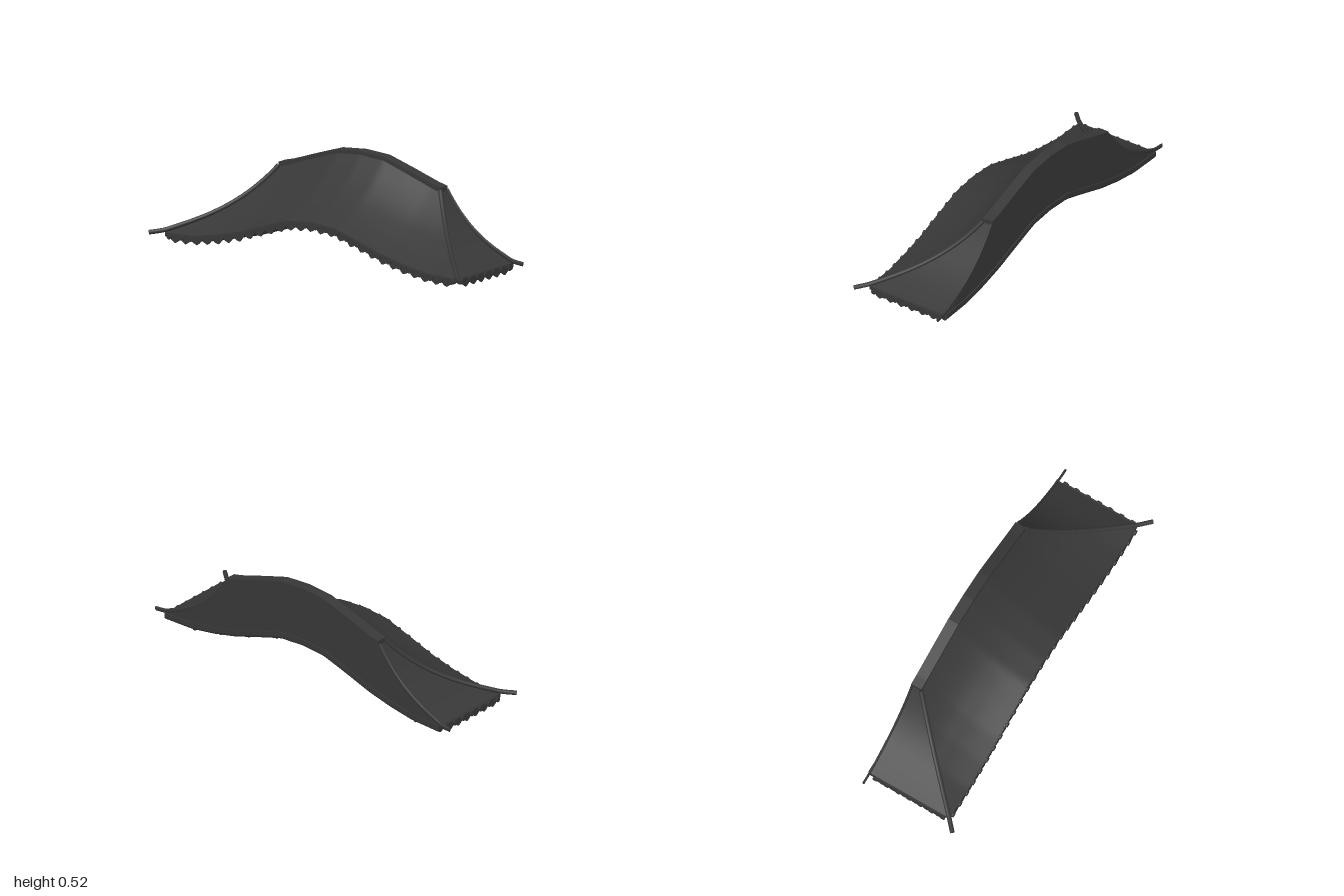
import * as THREE from 'three';

const material = new THREE.MeshStandardMaterial({ color: 0x383838, side: THREE.DoubleSide });
const EAVE_X = 0.93, RIDGE_X = 0.515, EAVE_Z = 0.2075, RIDGE_Z = -0.21, BACK_Z = -0.262;
const FRAME_X = 0.75, FRAME_Z = 0.025;
const { lerp } = THREE.MathUtils;

// Drop of the wavy eave and ridge away from the centre line
const WAVE = [[0, 0], [0.15, -0.011], [0.3, -0.058], [0.46, -0.111], [0.6, -0.145], [0.75, -0.17], [0.93, -0.175]];
function wave(x) {
  const a = Math.min(Math.abs(x), EAVE_X);
  const i = Math.max(1, WAVE.findIndex(p => p[0] >= a - 1e-9));
  const [p, q] = [WAVE[i - 1], WAVE[i]];
  return lerp(p[1], q[1], (a - p[0]) / (q[0] - p[0]));
}

// Concave slope: t = 0 at the eave, 1 at the ridge
const sweep = t => 0.55 * t + 0.45 * t ** 3;
const halfWidth = t => lerp(EAVE_X, RIDGE_X, t);
const slopeZ = t => lerp(EAVE_Z, RIDGE_Z, t);
const hipY = t => 0.05 + 0.325 * sweep(t);
const ribY = t => hipY(t) + 0.007 + 0.006 * (1 - t) ** 2;
const eaveY = x => 0.225 + wave(x);
const ridgeY = x => 0.525 + wave(x);
const frameY = x => 0.187 + wave(x);

function frontPoint(x, t) {
  const crown = 0.225 + 0.28 * sweep(t);
  const k = (hipY(t) - crown) / wave(halfWidth(t));
  return new THREE.Vector3(x, crown + k * wave(x), slopeZ(t));
}

function add(parent, geometry, name) {
  const mesh = new THREE.Mesh(geometry, material);
  mesh.name = name;
  parent.add(mesh);
  return mesh;
}

// Smooth sheet from a point function of u, v
function sheet(point, nu, nv) {
  const pos = [], index = [];
  for (let j = 0; j <= nv; j++) for (let i = 0; i <= nu; i++) pos.push(...point(i / nu, j / nv).toArray());
  for (let j = 0; j < nv; j++) for (let i = 0; i < nu; i++) {
    const a = j * (nu + 1) + i, b = a + nu + 1;
    index.push(a, a + 1, b, a + 1, b + 1, b);
  }
  const g = new THREE.BufferGeometry();
  g.setAttribute('position', new THREE.Float32BufferAttribute(pos, 3));
  g.setIndex(index);
  g.computeVertexNormals();
  return g;
}

// Upright slab between two height functions
function strip(half, top, bottom, z, depth) {
  const n = 62, shape = new THREE.Shape();
  const xAt = i => lerp(-half, half, i / n);
  shape.moveTo(-half, bottom(-half));
  for (let i = 1; i <= n; i++) shape.lineTo(xAt(i), bottom(xAt(i)));
  for (let i = n; i >= 0; i--) shape.lineTo(xAt(i), top(xAt(i)));
  return new THREE.ExtrudeGeometry(shape, { depth, bevelEnabled: false }).translate(0, 0, z);
}

// Round bar through points, with closed ends
function bar(parent, points, radius, name, sides = 10) {
  const group = new THREE.Group();
  group.name = name;
  parent.add(group);
  const curve = new THREE.CatmullRomCurve3(points);
  add(group, new THREE.TubeGeometry(curve, points.length * 4, radius, sides), name + 'Shaft');
  for (const t of [0, 1]) {
    const cap = add(group, new THREE.CircleGeometry(radius, sides), name + 'End');
    cap.position.copy(points[t ? points.length - 1 : 0]);
    cap.lookAt(cap.position.clone().addScaledVector(curve.getTangent(t), t ? 1 : -1));
  }
  return group;
}

// Path following the wave from side to side
const wavePath = (half, height, z) => Array.from({ length: 41 }, (_, i) => {
  const x = lerp(-half, half, i / 40);
  return new THREE.Vector3(x, height(x), z);
});

// Pointed drip tile and round tile end
const dripShape = new THREE.Shape();
dripShape.moveTo(-0.033, 0);
dripShape.lineTo(-0.033, -0.018);
dripShape.quadraticCurveTo(-0.022, -0.036, 0, -0.046);
dripShape.quadraticCurveTo(0.022, -0.036, 0.033, -0.018);
dripShape.lineTo(0.033, 0);
const dripTile = new THREE.ExtrudeGeometry(dripShape, { depth: 0.008, bevelEnabled: false, curveSegments: 4 });
const roundTile = new THREE.CylinderGeometry(0.0145, 0.0145, 0.03, 14).rotateX(Math.PI / 2);

function tileRow(parent, count, place, turn, tilt, name) {
  const row = new THREE.Group();
  row.name = name;
  parent.add(row);
  for (let i = 0; i < 2 * count - 1; i++) {
    const round = i % 2 === 0, u = (i + 1) / (2 * count);
    const tile = add(row, round ? roundTile : dripTile, round ? 'roundTileEnd' : 'dripTile');
    tile.position.copy(place(u));
    if (round) tile.position.y -= 0.015;
    tile.rotation.set(0, turn, tilt(u));
  }
}

export function createModel() {
  const roof = new THREE.Group();
  roof.name = 'curvedRoof';
  const steps = Array.from({ length: 11 }, (_, i) => 1 - i / 10);

  // Front slope, ridge and back wall
  add(roof, sheet((u, v) => frontPoint((2 * u - 1) * halfWidth(v), v), 62, 16), 'frontSlope');
  add(roof, strip(RIDGE_X, ridgeY, x => ridgeY(x) - 0.03, -0.27, 0.06), 'ridge');
  const wallTop = x => Math.abs(x) <= RIDGE_X ? ridgeY(x) - 0.015
    : hipY((EAVE_X - Math.abs(x)) / (EAVE_X - RIDGE_X));
  add(roof, strip(EAVE_X, wallTop, x => eaveY(x) - 0.015, -0.269, 0.008), 'backWall');

  // Trim along the foot of the back wall, rounded below
  add(roof, strip(EAVE_X, x => eaveY(x) + 0.006, x => eaveY(x) - 0.018, -0.275, 0.014), 'backTrim');
  bar(roof, wavePath(EAVE_X, x => eaveY(x) - 0.017, -0.257), 0.018, 'backTrimEdge', 14);

  // Front eave board and tiles
  add(roof, strip(EAVE_X, eaveY, x => eaveY(x) - 0.02, EAVE_Z - 0.012, 0.012), 'frontEaveBoard');
  const eaveX = u => lerp(-EAVE_X, EAVE_X, u);
  tileRow(roof, 28, u => new THREE.Vector3(eaveX(u), eaveY(eaveX(u)) - 0.003, EAVE_Z - 0.003), 0,
    u => Math.atan((wave(eaveX(u) + 0.03) - wave(eaveX(u) - 0.03)) / 0.06), 'frontTiles');

  for (const s of [1, -1]) {
    const side = new THREE.Group();
    side.name = s > 0 ? 'leftSide' : 'rightSide';
    roof.add(side);

    // Side slope, eave board and tiles
    add(side, sheet((u, v) => new THREE.Vector3(s * halfWidth(v), hipY(v),
      lerp(slopeZ(v), BACK_Z, s > 0 ? u : 1 - u)), 10, 16), 'sideSlope');
    add(side, new THREE.BoxGeometry(0.012, 0.02, EAVE_Z - BACK_Z), 'sideEaveBoard')
      .position.set(s * (EAVE_X - 0.006), 0.04, (EAVE_Z + BACK_Z) / 2);
    tileRow(side, 7, u => new THREE.Vector3(s * EAVE_X, 0.048, lerp(EAVE_Z, -0.26, u)),
      s * Math.PI / 2, () => 0, 'sideTiles');

    // Hip rib and flattened back rib, running out past the eave
    const hip = steps.map(t => new THREE.Vector3(s * halfWidth(t), ribY(t), slopeZ(t)));
    bar(side, [...hip, new THREE.Vector3(s * 0.99, 0.052, 0.264)], 0.012, 'hipRib');
    const back = steps.map(t => new THREE.Vector3(s * halfWidth(t), ribY(t), -0.528));
    bar(side, [...back, new THREE.Vector3(s * 0.998, 0.054, -0.528)], 0.012, 'backRib').scale.z = 0.5;

    // Side frame beam with short rafter ends, and the rafter under the hip
    bar(side, [FRAME_Z, -0.25].map(z => new THREE.Vector3(s * FRAME_X, frameY(FRAME_X), z)), 0.012, 'sideBeam', 8);
    for (const z of [-0.03, -0.11, -0.19]) {
      bar(side, [0.04, 0.1].map(d => new THREE.Vector3(s * (FRAME_X + d), frameY(FRAME_X) + 0.01, z)), 0.007, 'sideRafterEnd', 6);
    }
    bar(side, steps.map(t => new THREE.Vector3(s * (halfWidth(t) - 0.008), hipY(t) - 0.012, slopeZ(t) - 0.008)),
      0.007, 'hipRafter', 6);
  }

  // Front frame beam, rafter ends and cross joists
  bar(roof, wavePath(FRAME_X, frameY, FRAME_Z), 0.012, 'frontBeam', 8);
  for (let i = 0; i < 12; i++) {
    const x = lerp(-0.66, 0.66, i / 11);
    bar(roof, [0.04, 0.1].map(d => new THREE.Vector3(x, frameY(x) + 0.01, FRAME_Z + d)), 0.007, 'rafterEnd', 6);
  }
  for (let i = 0; i < 7; i++) {
    const x = lerp(-0.57, 0.57, i / 6);
    bar(roof, [FRAME_Z, -0.25].map(z => new THREE.Vector3(x, frameY(x), z)), 0.007, 'joist', 6);
  }
  return roof;
}
